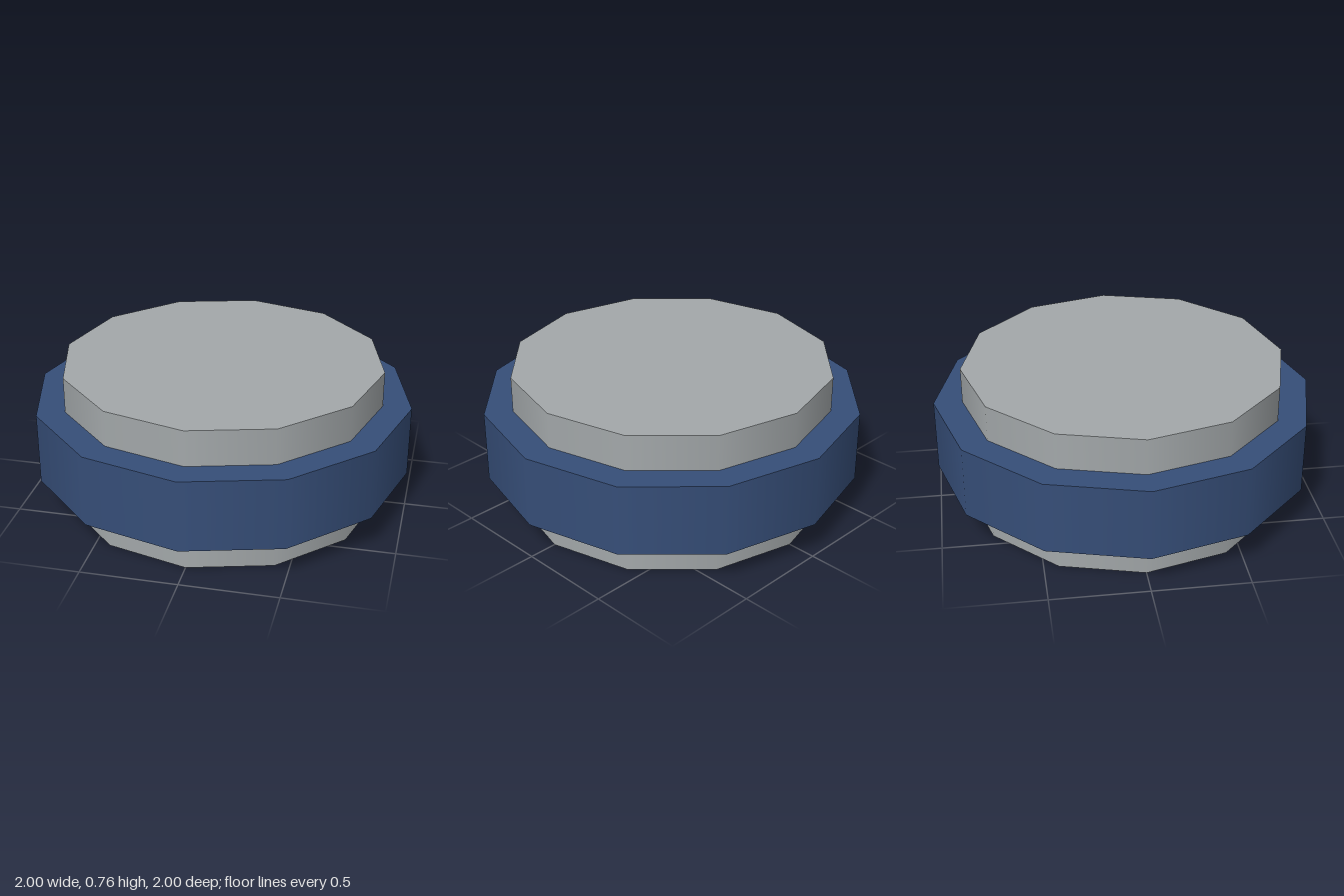
import * as THREE from 'three';

const SIDES = 12;

export function createModel() {
  const group = new THREE.Group();
  group.name = 'bandedDisc';

  const grey = new THREE.MeshStandardMaterial({ color: 0xa3a8aa });
  grey.name = 'grey';
  const blue = new THREE.MeshStandardMaterial({ color: 0x364e78 });
  blue.name = 'blue';

  // Twelve-sided disc with smooth sides and flat caps, standing on y = bottom
  const addDisc = (name, radius, bottom, height, material) => {
    const mesh = new THREE.Mesh(
      new THREE.CylinderGeometry(radius, radius, height, SIDES), material);
    mesh.name = name;
    mesh.position.y = bottom + height / 2;
    group.add(mesh);
  };

  // Inner core, showing above and below the band
  addDisc('core', 0.85, 0, 0.76, grey);
  // Wider band around the middle
  addDisc('band', 1, 0.19, 0.38, blue);

  return group;
}
